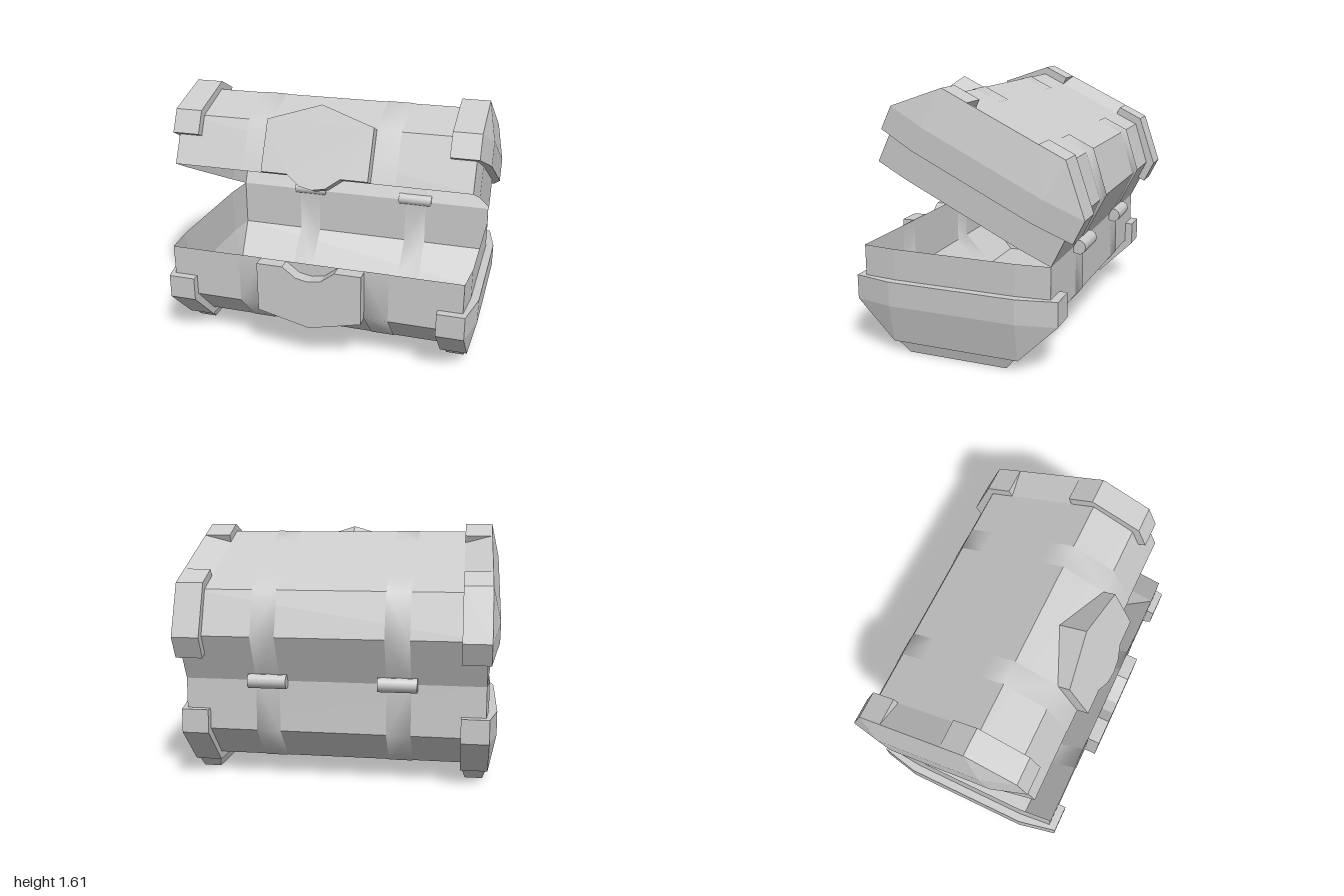
import * as THREE from 'three';

const RIM = 0.65, HINGE_Z = -0.53, OPEN_ANGLE = THREE.MathUtils.degToRad(26);
const material = new THREE.MeshStandardMaterial({ color: 0xcccccc, side: THREE.DoubleSide });

// Skin a list of rings (each a list of [x, y, z]) and skip collapsed triangles.
function loft(rings, closed = false, smooth = false) {
  const n = rings[0].length, pts = rings.flat(), index = [];
  const v = pts.map(p => new THREE.Vector3(...p));
  const tri = (a, b, c) => {
    if (new THREE.Triangle(v[a], v[b], v[c]).getArea() > 1e-7) index.push(a, b, c);
  };
  for (let i = 0; i < rings.length - 1; i++) {
    for (let j = 0; j < (closed ? n : n - 1); j++) {
      const k = (j + 1) % n, a = i * n + j, b = i * n + k;
      tri(a, a + n, b);
      tri(b, a + n, b + n);
    }
  }
  const geo = new THREE.BufferGeometry().setFromPoints(v);
  geo.setIndex(index);
  const out = smooth ? geo : geo.toNonIndexed();
  out.computeVertexNormals();
  return out;
}

// Mirror a geometry across x and/or y, keeping its faces outward.
function mirrored(geo, sx, sy) {
  const g = geo.clone().scale(sx, sy, 1);
  if (sx * sy < 0) {
    const count = g.index ? g.index.count : g.attributes.position.count;
    const idx = Array.from({ length: count }, (_, i) => (g.index ? g.index.getX(i) : i));
    for (let i = 0; i < count; i += 3) [idx[i + 1], idx[i + 2]] = [idx[i + 2], idx[i + 1]];
    g.setIndex(idx);
  }
  g.computeVertexNormals();
  return g;
}

// Thin-walled tray with sloping lower sides and slightly bowed ends.
function trayGeometry() {
  const ring = (y, zf, zb, xc, xe) => [
    [xc, y, zf], [xe, y, 0.44], [xe, y, -0.32], [xc, y, zb],
    [-xc, y, zb], [-xe, y, -0.32], [-xe, y, 0.44], [-xc, y, zf],
  ];
  const bottom = ring(0.12, 0.45, -0.33, 0.9, 0.9);
  return loft([
    ring(0.65, 0.65, -0.53, 0.93, 0.95),
    ring(0.33, 0.65, -0.53, 0.93, 0.95),
    bottom,
    bottom.map(() => [0, 0.12, 0.06]),
  ], true);
}

// Chunky end cap: stepped shell, bevelled end face, ramp in the middle of its flat side.
function capGeometry() {
  const outer = [[-0.58, 0.46], [-0.58, 0.31], [-0.34, 0.07], [-0.17, 0.07], [-0.17, 0.07],
    [0.29, 0.07], [0.29, 0.07], [0.46, 0.07], [0.7, 0.31], [0.7, 0.46]];
  const inner = [[-0.53, 0.46], [-0.53, 0.33], [-0.33, 0.12], [-0.17, 0.12], [-0.17, 0.12],
    [0.29, 0.12], [0.29, 0.12], [0.45, 0.12], [0.65, 0.33], [0.65, 0.46]];
  const at = (x, profile) => profile.map(([z, y]) => [x, y, z]);
  const face = outer.map(([z, y]) => [THREE.MathUtils.clamp(z, -0.34, 0.46), Math.max(y, 0.31)]);
  return loft([
    at(0.78, inner),
    at(0.78, outer.map(([z, y], i) => [z, i === 4 || i === 5 ? 0.12 : y])),
    at(0.95, outer),
    at(1, face),
    at(1, face.map(([z]) => [z, 0.46])),
  ]);
}

// Flat ledge between the tray wall and the edge of the cap.
function ledgeGeometry() {
  const path = pts => pts.map(([x, z]) => [x, 0.46, z]);
  return loft([
    path([[0.78, 0.65], [0.93, 0.65], [0.95, 0.44], [0.95, -0.32], [0.93, -0.53], [0.78, -0.53]]),
    path([[0.78, 0.7], [0.95, 0.7], [1, 0.46], [1, -0.34], [0.95, -0.58], [0.78, -0.58]]),
  ]);
}

// Softly shaded strap lying on the tray wall; o is its offset from the wall.
function strapGeometry(o, back) {
  const profile = [[0.65 + o, 0.65], [0.65 + o, 0.33 - o / 2], [0.45 + o / 2, 0.12 - o], [0.28, 0.12 - o]];
  const at = x => profile.map(([z, y]) => [x, y, back ? 0.12 - z : z]);
  return back ? loft([at(0.33), at(0.48)], false, true) : loft([at(0.48), at(0.33)], false, true);
}

// Tapered foot under an end cap.
function footGeometry() {
  const ring = (y, x0, x1, z0, z1) => [[x1, y, z1], [x1, y, z0], [x0, y, z0], [x0, y, z1]];
  const sole = ring(0, 0.81, 0.92, -0.26, 0.37);
  return loft([ring(0.075, 0.79, 0.94, -0.32, 0.44), sole, sole.map(() => [0.865, 0, 0.055])], true);
}

// Front plate whose back follows the sloping wall.
function plateGeometry(outline) {
  const shape = new THREE.Shape(outline.map(p => new THREE.Vector2(...p)));
  const geo = new THREE.ExtrudeGeometry(shape, { depth: 0.08, bevelEnabled: false });
  geo.translate(0, 0, 0.65);
  const p = geo.attributes.position;
  for (let i = 0; i < p.count; i++) {
    if (p.getZ(i) < 0.66) p.setZ(i, 0.65 - Math.max(0, 0.33 - p.getY(i)) * 0.95);
  }
  geo.computeVertexNormals();
  return geo;
}

// One half of the chest, with its rim at y = 0; sy = -1 turns it into the lid.
function half(sy) {
  const group = new THREE.Group();
  const add = (name, geo, sx = 1) => {
    const mesh = new THREE.Mesh(mirrored(geo.clone().translate(0, -RIM, 0), sx, sy), material);
    mesh.name = name;
    group.add(mesh);
  };
  add('tray', trayGeometry());
  for (const sx of [1, -1]) {
    const side = sx > 0 ? 'left' : 'right';
    add(side + 'EndCap', capGeometry(), sx);
    add(side + 'EndCapLedge', ledgeGeometry(), sx);
    for (const back of [false, true]) {
      for (const o of [0.003, -0.003]) {
        add(side + (back ? 'Back' : 'Front') + (o > 0 ? 'Strap' : 'InnerStrap'), strapGeometry(o, back), sx);
      }
    }
    if (sy > 0) add(side + 'Foot', footGeometry(), sx);
  }
  // The lower plate has a notch, the upper one a matching tongue.
  const tip = sy > 0 ? 0.25 : 0.22;
  const d = sy > 0 ? -1 : 1;
  add(sy > 0 ? 'lockPlate' : 'latchPlate', plateGeometry([
    [-0.33, 0.33], [0, tip], [0.33, 0.33], [0.33, 0.65], [0.165, 0.65],
    [0.08, 0.65 + d * 0.065], [0, 0.65 + d * 0.08], [-0.08, 0.65 + d * 0.065], [-0.165, 0.65], [-0.33, 0.65],
  ]));
  return group;
}

export function createModel() {
  const model = new THREE.Group();
  model.name = 'chest';

  const base = half(1);
  base.name = 'base';
  base.position.y = RIM;

  // Lid swings up around the back rim
  const lidShell = half(-1);
  lidShell.name = 'lidShell';
  lidShell.position.z = -HINGE_Z;
  const lid = new THREE.Group();
  lid.name = 'lid';
  lid.position.set(0, RIM, HINGE_Z);
  lid.rotation.x = -OPEN_ANGLE;
  lid.add(lidShell);
  model.add(base, lid);

  // Hinge barrels
  for (const s of [1, -1]) {
    const geo = new THREE.CylinderGeometry(0.045, 0.045, 0.24, 10).rotateZ(Math.PI / 2);
    const hinge = new THREE.Mesh(geo, material);
    hinge.name = s > 0 ? 'leftHinge' : 'rightHinge';
    hinge.position.set(s * 0.4, RIM, -0.56);
    model.add(hinge);
  }
  return model;
}
